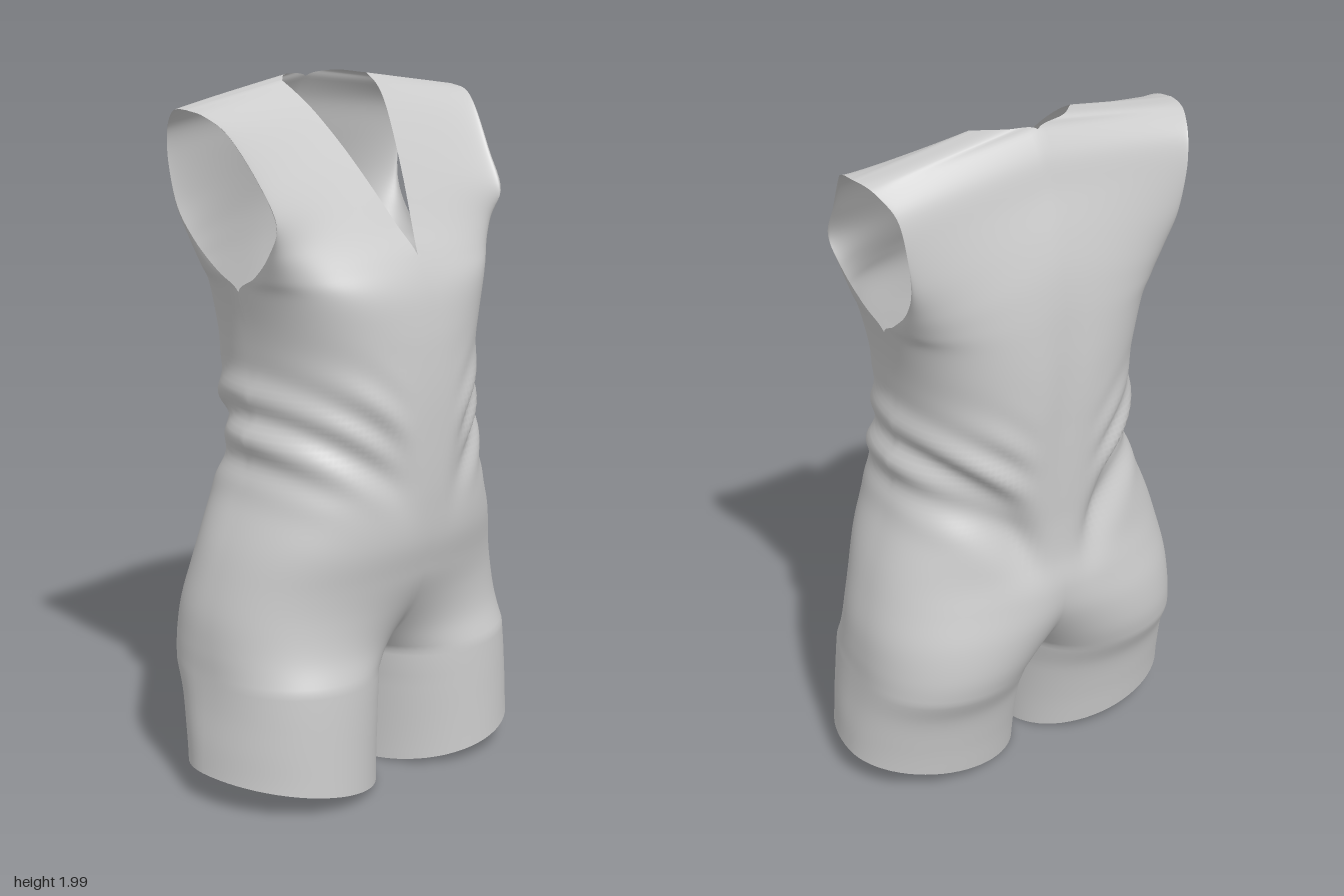
import * as THREE from 'three';
import { mergeGeometries, mergeVertices } from 'three/addons/utils/BufferGeometryUtils.js';

const COLS = 32, SUB = 6;
const bell = (v, c, w) => Math.exp(-(((v - c) / w) ** 2));
const { smoothstep, lerp, clamp } = THREE.MathUtils;

// Shorts and waist: inner y, outer y, half width, front z, back z, side seam z
const lower = [
  [0.005, 0.10, 0.543, 0.30, -0.23, -0.015],
  [0.13, 0.19, 0.535, 0.297, -0.247, -0.02],
  [0.26, 0.29, 0.522, 0.294, -0.272, -0.03],
  [0.36, 0.375, 0.515, 0.290, -0.313, -0.04],
  [0.45, 0.455, 0.512, 0.283, -0.340, -0.04],
  [0.55, 0.55, 0.503, 0.294, -0.348, -0.04],
  [0.65, 0.65, 0.480, 0.315, -0.335, -0.035],
  [0.75, 0.75, 0.450, 0.338, -0.316, -0.03],
  [0.86, 0.86, 0.405, 0.347, -0.312, -0.02],
  [0.95, 0.95, 0.375, 0.350, -0.315, -0.01],
  [1.05, 1.05, 0.370, 0.350, -0.320, -0.01],
  [1.15, 1.15, 0.358, 0.348, -0.325, -0.01],
  [1.25, 1.25, 0.348, 0.342, -0.328, -0.01],
  [1.35, 1.35, 0.360, 0.332, -0.325, -0.015],
  [1.45, 1.45, 0.383, 0.313, -0.317, -0.02],
];

// Bodice rows: inner edge (y, x, z), then armhole edge (y, x, z)
const frontUpper = [
  [1.54, 0, 0.275, 1.50, 0.395, 0.06],
  [1.62, 0.028, 0.222, 1.57, 0.41, 0.135],
  [1.72, 0.062, 0.158, 1.66, 0.425, 0.185],
  [1.82, 0.097, 0.088, 1.77, 0.438, 0.125],
  [1.91, 0.132, 0.015, 1.88, 0.465, 0.045],
  [1.96, 0.152, -0.04, 1.925, 0.49, -0.02],
  [1.99, 0.158, -0.09, 1.937, 0.497, -0.085],
];
const backUpper = [
  [1.55, 0, -0.307, 1.50, 0.395, -0.09],
  [1.64, 0, -0.292, 1.57, 0.405, -0.17],
  [1.73, 0, -0.268, 1.66, 0.42, -0.225],
  [1.83, 0, -0.235, 1.78, 0.438, -0.237],
  [1.92, 0, -0.208, 1.87, 0.453, -0.22],
  [1.985, 0, -0.17, 1.92, 0.478, -0.17],
  [1.998, 0.09, -0.152, 1.935, 0.49, -0.13],
  [1.99, 0.158, -0.09, 1.937, 0.497, -0.085],
];

// One quarter of the garment, from centre line to side seam, hem to shoulder
function quarterPanel(front, mirror) {
  const rows = lower.map(([yi, yo, w, zf, zb, zs]) => [yi, 0, front ? zf : zb, yo, w, zs])
    .concat(front ? frontUpper : backUpper);
  const profile = new THREE.CubicInterpolant(rows.map((_, i) => i), rows.flat(), 6, []);
  const n = (rows.length - 1) * SUB;
  const pos = [], index = [];

  for (let i = 0; i <= n; i++) {
    let [yi, xi, zi, yo, xo, zo] = profile.evaluate(i / SUB);
    xi = i / SUB <= lower.length ? 0 : Math.max(0, xi);
    // Leg tubes merge into the torso above the crotch
    const t = 1 - (1 - clamp((yi - 0.36) / (front ? 0.3 : 0.36), 0, 1)) ** 2;
    const inner = xi + 0.006 * clamp((0.36 - yi) / 0.1, 0, 1);
    const legPower = lerp(0.5, 0.4, smoothstep(yi, 0, 0.36));
    // Square chest, rounder waist
    const p = 0.88 - (front ? 0.2 : 0.1) * bell(yi, 1.5, 0.17) + 0.12 * smoothstep(yi, 1.6, 1.85);

    for (let j = 0; j <= COLS; j++) {
      const u = j === COLS ? 1 : Math.sin((j / COLS) * Math.PI / 2) ** lerp(2, p, t);
      const leg = 4 * u * (1 - u);
      const torso = Math.max(0, 1 - u ** (2 / p)) ** p;
      const swell = lerp(leg, torso, t) ** lerp(legPower, 0.5, t);
      let x = inner + (xo - inner) * u;
      let z = zo + (zi - zo) * swell;
      const y = lerp(yi, yo, u);

      // Slanted gathers at the waist
      let d = 0.011 * bell(y, 1.07, 0.13) * smoothstep(x, 0.06, 0.2)
        * Math.sin((y - 0.75 * Math.sqrt(x)) * 46 + 1.5 * z);
      // Tucked creases running from the sides to the middle
      const line = front ? 0.84 + 0.85 * x : 0.72 + 0.95 * x;
      d -= (front ? 0.02 : 0.045) * bell(y, line, 0.09) * smoothstep(x, 0.03, 0.17) * swell;
      // Spine hollow
      if (!front) d -= 0.012 * bell(y, 1.25, 0.22) * bell(x, 0, 0.05);
      const r = Math.hypot(x, z) || 1;
      x += d * x / r;
      z += d * z / r;
      pos.push(mirror ? -x : x, y, z);

      if (i < n && j < COLS) {
        const k = i * (COLS + 1) + j, up = k + COLS + 1;
        if (front !== mirror) index.push(k, k + 1, up, k + 1, up + 1, up);
        else index.push(k, up, k + 1, k + 1, up, up + 1);
      }
    }
  }
  const g = new THREE.BufferGeometry();
  g.setAttribute('position', new THREE.Float32BufferAttribute(pos, 3));
  g.setIndex(index);
  return g;
}

export function createModel() {
  const group = new THREE.Group();
  group.name = 'sleevelessRomper';
  const quarters = [];
  for (const front of [true, false])
    for (const mirror of [false, true]) quarters.push(quarterPanel(front, mirror));
  // Weld the seams so the cloth shades as one smooth surface
  const cloth = mergeVertices(mergeGeometries(quarters), 1e-4);
  cloth.computeVertexNormals();
  const mesh = new THREE.Mesh(cloth, new THREE.MeshStandardMaterial({ color: 0xcccccc, side: THREE.DoubleSide }));
  mesh.name = 'romperCloth';
  group.add(mesh);
  return group;
}
